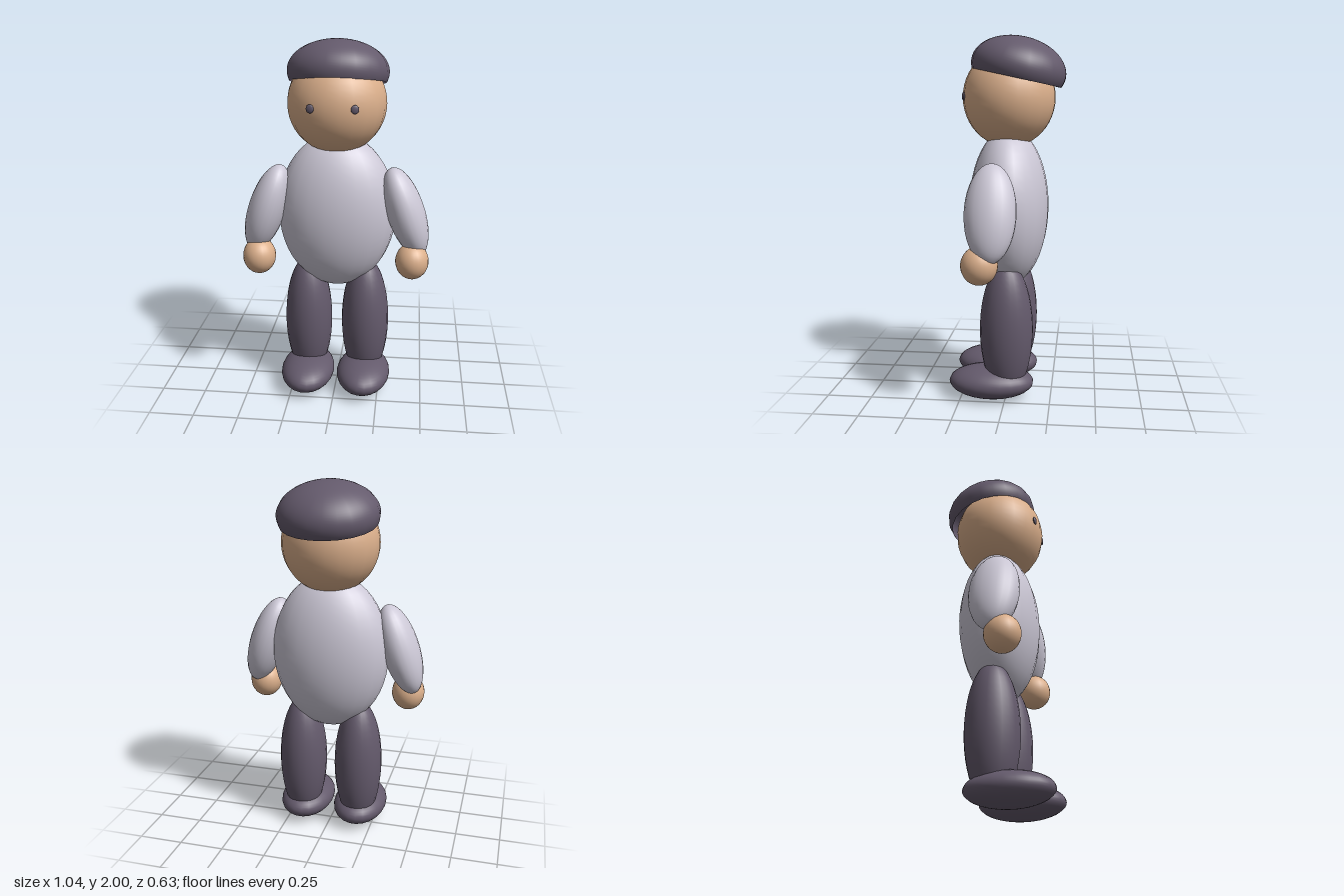
import * as THREE from 'three';

export function createModel() {
  const model = new THREE.Group();
  model.name = 'figure';

  const flat = (name, color, side = THREE.FrontSide) => {
    const m = new THREE.MeshStandardMaterial({ color, side });
    m.name = name;
    return m;
  };
  const skin = flat('skin', 0xdcb08c);
  const cloth = flat('pale grey cloth', 0xccc8d6);
  const dark = flat('dark plum', 0x645a6c, THREE.DoubleSide);

  // Ellipsoid from centre and radii; cut < 1 leaves an open bowl
  function ellipsoid(name, material, center, radii, parent = model, cut = 1) {
    const geometry = new THREE.SphereGeometry(1, 22, 24, 0, Math.PI * 2, 0, Math.PI * cut);
    geometry.scale(...radii);
    const mesh = new THREE.Mesh(geometry, material);
    mesh.name = name;
    mesh.position.set(...center);
    parent.add(mesh);
    return mesh;
  }

  // Body and head
  ellipsoid('torso', cloth, [0, 1.06, -0.003], [0.33, 0.44, 0.221]);
  ellipsoid('head', skin, [0, 1.665, -0.004], [0.268, 0.27, 0.255]);

  // Hair cap, tipped towards the back
  const hair = ellipsoid('hair', dark, [0, 1.822, -0.056], [0.276, 0.172, 0.263], model, 0.6);
  hair.rotation.x = -0.215;

  // Paired parts
  for (const [label, s] of [['left', 1], ['right', -1]]) {
    const eye = ellipsoid(label + 'Eye', dark, [s * 0.115, 1.672, 0.232], [0.021, 0.023, 0.008]);
    eye.rotation.y = s * 0.2;

    const arm = ellipsoid(label + 'Arm', cloth, [s * 0.385, 1.08, 0.055], [0.104, 0.262, 0.136]);
    arm.rotation.z = s * 0.33;
    ellipsoid(label + 'Hand', skin, [s * 0.427, 0.815, 0.108], [0.092, 0.102, 0.097]);

    ellipsoid(label + 'Leg', dark, [s * 0.165, 0.395, -0.005], [0.136, 0.38, 0.147]);
    ellipsoid(label + 'Shoe', dark, [s * 0.163, 0.095, 0.081], [0.154, 0.093, 0.236]);
  }

  return model;
}
